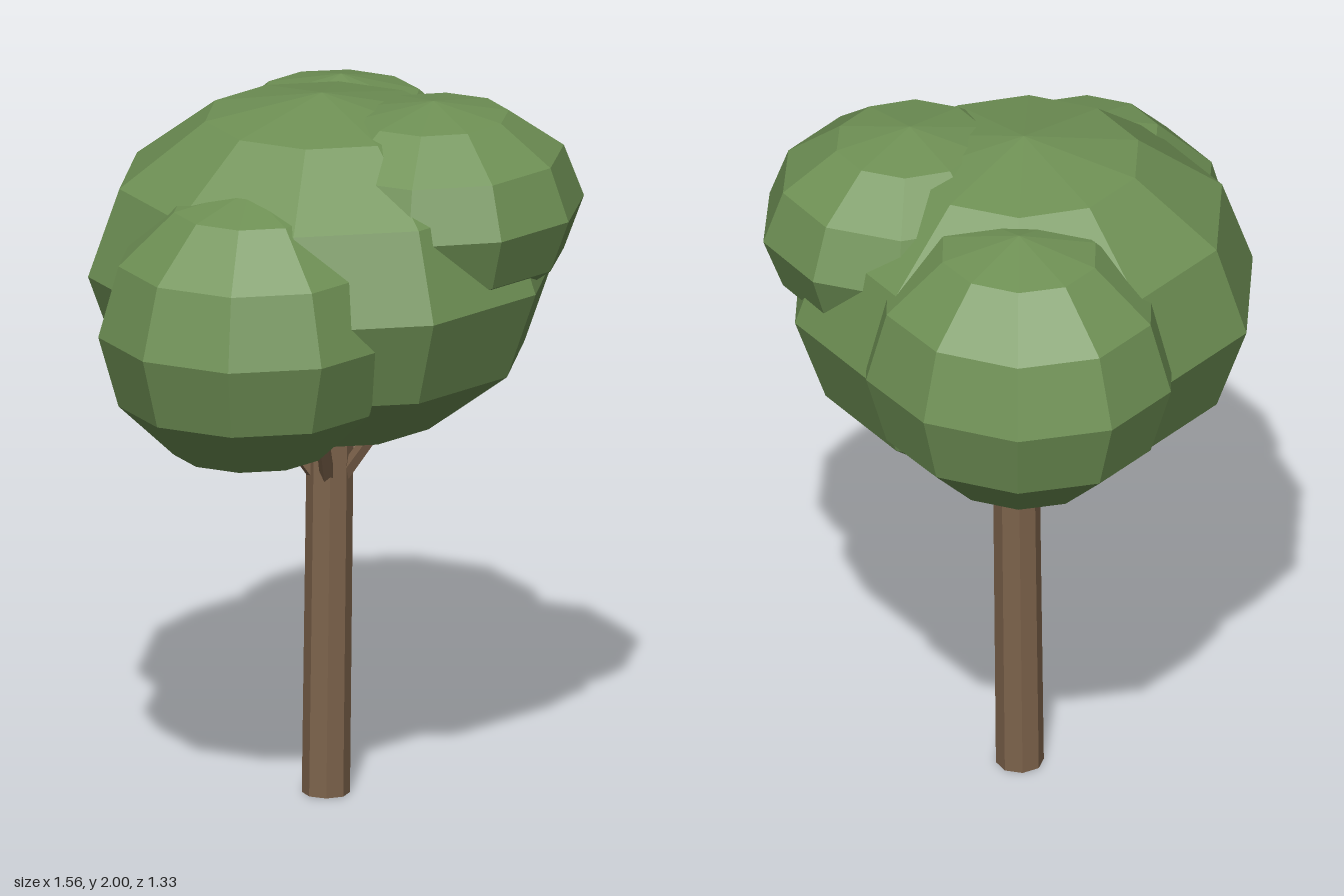
import * as THREE from 'three';

export function createModel() {
  const tree = new THREE.Group();
  tree.name = 'tree';

  const leafGreen = new THREE.MeshStandardMaterial({ color: 0x6f9155, flatShading: true });
  leafGreen.name = 'leafGreen';
  const barkBrown = new THREE.MeshStandardMaterial({ color: 0x7d634b, flatShading: true });
  barkBrown.name = 'barkBrown';

  // Tapered limb between two points
  function limb(name, from, to, rBottom, rTop, sides) {
    const dir = to.clone().sub(from);
    const mesh = new THREE.Mesh(
      new THREE.CylinderGeometry(rTop, rBottom, dir.length(), sides), barkBrown);
    mesh.name = name;
    mesh.position.copy(from).add(to).multiplyScalar(0.5);
    mesh.quaternion.setFromUnitVectors(new THREE.Vector3(0, 1, 0), dir.normalize());
    tree.add(mesh);
  }

  // Slightly leaning trunk
  limb('trunk', new THREE.Vector3(0.035, 0.001, 0.015),
    new THREE.Vector3(0.053, 1.1, 0.015), 0.066, 0.064, 8);

  // Ring of short branches rising into the crown
  for (let i = 0; i < 5; i++) {
    const a = (i / 5) * Math.PI * 2;
    const at = (r, y) => new THREE.Vector3(0.05 + r * Math.cos(a), y, 0.015 + r * Math.sin(a));
    limb('branch' + (i + 1), at(0.02, 0.88), at(0.19, 1.12), 0.022, 0.018, 5);
  }

  // Crown clumps: name, centre, radii
  const clumps = [
    ['crownMain', [0.03, 1.507, 0.005], [0.65, 0.493, 0.65]],
    ['crownBackLeft', [0.36, 1.53, -0.24], [0.42, 0.4, 0.45]],
    ['crownRight', [-0.365, 1.43, 0.11], [0.42, 0.4, 0.42]],
    ['crownFront', [0.185, 1.705, 0.28], [0.427, 0.295, 0.405]],
  ];
  for (const [name, centre, radii] of clumps) {
    const geometry = new THREE.SphereGeometry(1, 10, 6).scale(...radii);
    const clump = new THREE.Mesh(geometry, leafGreen);
    clump.name = name;
    clump.position.set(...centre);
    tree.add(clump);
  }

  return tree;
}
